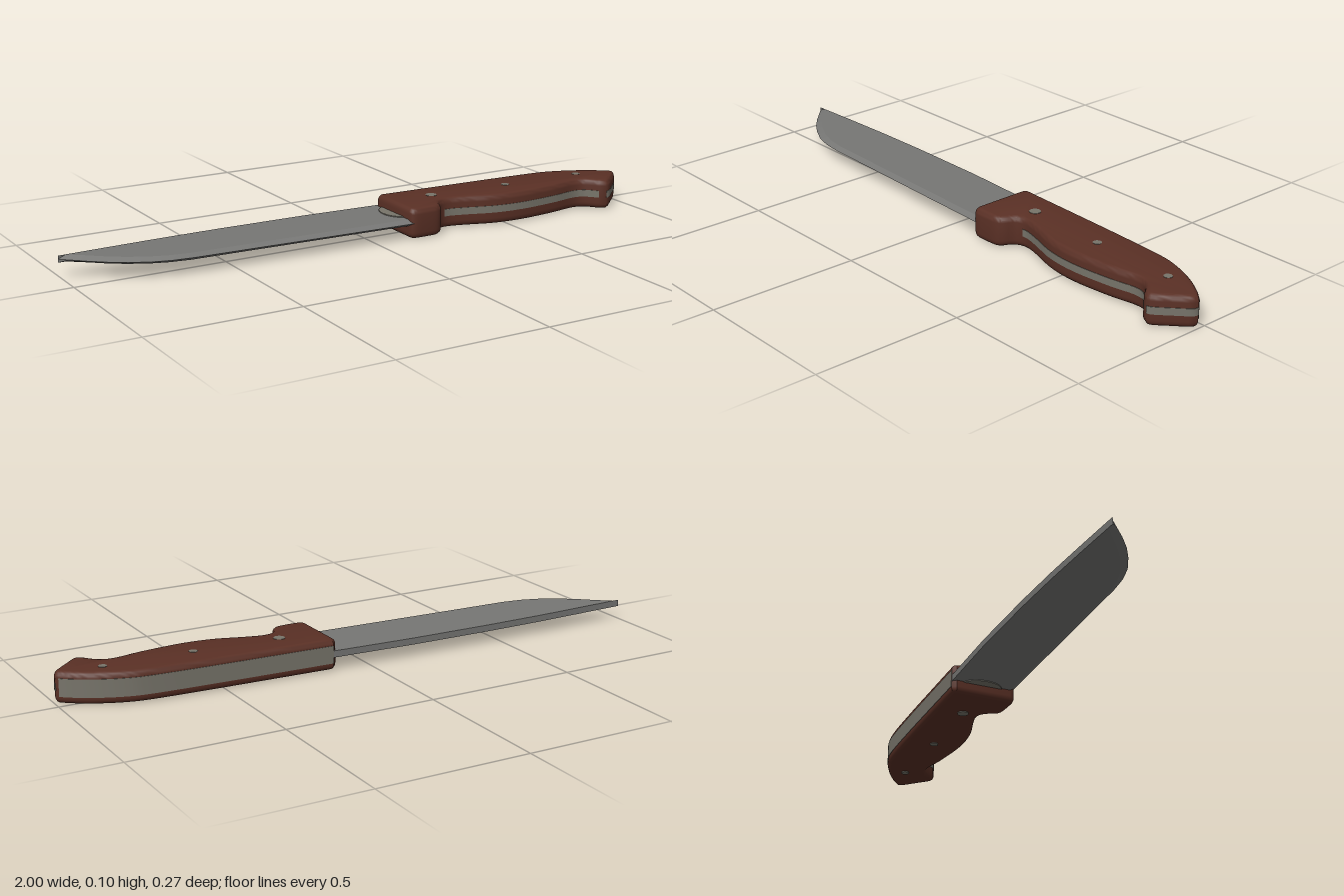
import * as THREE from 'three';
import { toCreasedNormals } from 'three/addons/utils/BufferGeometryUtils.js';

const V = (p) => new THREE.Vector2(p[0], -p[1]); // plan (x, z) to shape space
const spline = (pts, n) => new THREE.SplineCurve(pts.map(V)).getPoints(n);

export function createModel() {
  const group = new THREE.Group();
  const mat = (name, color) => {
    const m = new THREE.MeshStandardMaterial({ color });
    m.name = name;
    return m;
  };
  const steel = mat('blade steel', 0x767674);
  const wood = mat('dark red wood', 0x5a3025);
  const metal = mat('tang metal', 0x77746a);
  const add = (name, geo, material) => {
    const mesh = new THREE.Mesh(geo, material);
    mesh.name = name;
    group.add(mesh);
    return mesh;
  };
  // Extrude a plan outline upward from y0 to y1, with an optional rounded rim
  const slab = (pts, y0, y1, size = 0, thick = 0) => {
    const geo = new THREE.ExtrudeGeometry(new THREE.Shape(pts), {
      depth: y1 - y0 - 2 * thick, bevelEnabled: size > 0, bevelSize: size,
      bevelThickness: thick, bevelOffset: -size, bevelSegments: 4,
    });
    geo.rotateX(-Math.PI / 2).translate(0, y0 + thick, 0);
    return toCreasedNormals(geo, 0.7);
  };

  // Blade: cross-sections [x, spine z, bevel start z, cutting edge z]
  const sections = [
    [-1, -0.122, -0.122, -0.122], [-0.975, -0.123, -0.122, -0.098],
    [-0.93, -0.125, -0.086, -0.055], [-0.88, -0.127, -0.043, -0.014],
    [-0.83, -0.129, -0.007, 0.018], [-0.77, -0.131, 0.025, 0.048],
    [-0.71, -0.133, 0.045, 0.065], [-0.64, -0.135, 0.056, 0.073],
    [-0.45, -0.137, 0.062, 0.08], [-0.15, -0.133, 0.073, 0.092],
    [0.15, -0.119, 0.084, 0.103],
  ];
  const rings = sections.map(([x, s, b, e]) => [
    [x, 0.066, s], [x, 0.066, b], [x, 0.055, e], [x, 0.044, b], [x, 0.044, s],
  ]);
  const pos = [];
  for (let i = 0; i < rings.length - 1; i++) {
    for (let j = 0; j < 5; j++) {
      const k = (j + 1) % 5;
      const a = rings[i][j], b = rings[i][k], c = rings[i + 1][k], d = rings[i + 1][j];
      pos.push(...a, ...b, ...d, ...b, ...c, ...d);
    }
  }
  const bladeGeo = new THREE.BufferGeometry();
  bladeGeo.setAttribute('position', new THREE.Float32BufferAttribute(pos, 3));
  bladeGeo.computeVertexNormals();
  add('blade', toCreasedNormals(bladeGeo, 0.3), steel);

  // Handle outline: spine and butt, then belly with finger notch and guard
  const spine = spline([[0.13, -0.121], [0.35, -0.113], [0.55, -0.105], [0.74, -0.094],
    [0.82, -0.078], [0.9, -0.045], [0.96, -0.008], [0.99, 0.017]], 32);
  const butt = spline([[0.997, 0.025], [0.992, 0.045], [0.95, 0.085], [0.91, 0.122], [0.892, 0.129]], 10);
  const belly = spline([[0.87, 0.117], [0.835, 0.078], [0.79, 0.069], [0.7, 0.085], [0.565, 0.097],
    [0.457, 0.088], [0.36, 0.058], [0.3, 0.043], [0.265, 0.049], [0.247, 0.07]], 40);
  const guard = spline([[0.238, 0.09], [0.222, 0.101], [0.195, 0.105], [0.14, 0.105], [0.122, 0.098]], 12);
  const front = [[0.117, 0.085], [0.117, -0.108]].map(V);
  add('handle', slab([...spine, ...butt, ...belly, ...guard, ...front], 0.003, 0.104, 0.014, 0.02), wood);

  // Tang: thin metal bands just proud of the handle sides
  const band = (name, pts, half) => {
    const side = (d) => pts.map((p, i) => {
      const t = pts[Math.min(i + 1, pts.length - 1)].clone().sub(pts[Math.max(i - 1, 0)]).normalize();
      return new THREE.Vector2(p.x - t.y * d, p.y + t.x * d);
    });
    add(name, slab([...side(0.0015), ...side(-0.005).reverse()], 0.0545 - half, 0.0545 + half), metal);
  };
  band('tangSpine', spine, 0.029);
  band('tangButt', butt, 0.012);
  band('tangBelly', belly.slice(0, 34), 0.012);

  // Rounded metal collar lying on both faces of the blade
  const collar = [];
  for (let i = 0; i <= 16; i++) {
    const a = Math.PI / 2 + (Math.PI * i) / 16;
    collar.push(new THREE.Vector2(0.125 + 0.045 * Math.cos(a), 0.015 + 0.068 * Math.sin(a)));
  }
  add('collar', slab(collar, 0.041, 0.069), metal);

  // Rivets running through the handle
  [[0.27, -0.02, 0.019], [0.56, -0.005, 0.014], [0.855, 0.002, 0.014]].forEach(([x, z, r], i) => {
    const geo = new THREE.CylinderGeometry(r, r, 0.105, 20);
    add('rivet' + (i + 1), geo, metal).position.set(x, 0.0525, z);
  });
  return group;
}
